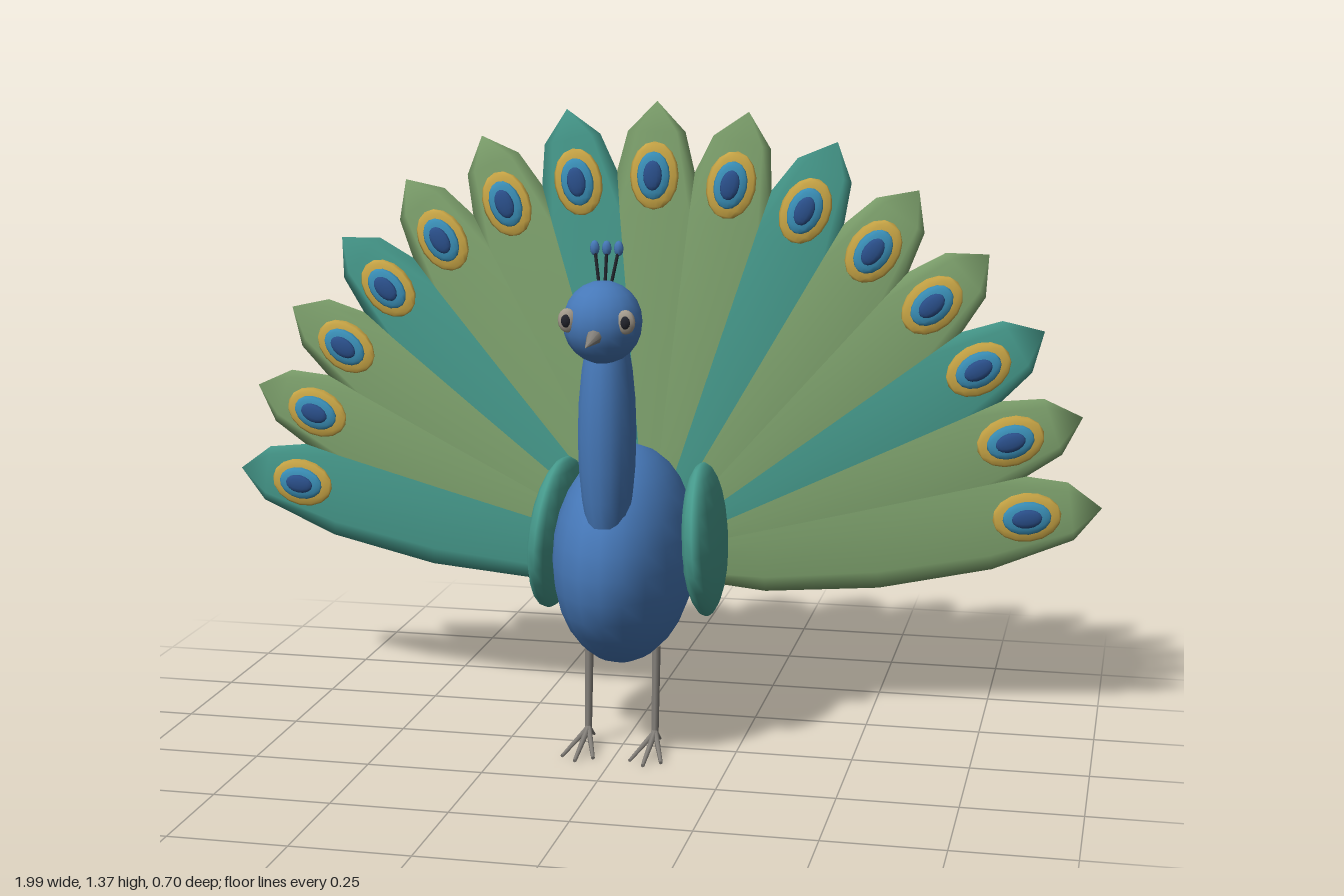
import * as THREE from 'three';

const mat = (name, color) => {
  const m = new THREE.MeshStandardMaterial({ color });
  m.name = name;
  return m;
};

export function createModel() {
  const blue = mat('bodyBlue', 0x4678b8);
  const teal = mat('teal', 0x469a8c);
  const green = mat('featherGreen', 0x7fa36e);
  const gold = mat('gold', 0xc9a646);
  const sky = mat('spotBlue', 0x3a8fb7);
  const navy = mat('spotNavy', 0x2a4f8a);
  const grey = mat('legGrey', 0x85817b);
  const tan = mat('eyeTan', 0xa39a8c);
  const dark = mat('dark', 0x22242c);

  const bird = new THREE.Group();
  bird.name = 'fanTailedBird';

  const add = (parent, name, geometry, material) => {
    const mesh = new THREE.Mesh(geometry, material);
    mesh.name = name;
    parent.add(mesh);
    return mesh;
  };
  // ellipsoid: centre and half sizes
  const blob = (parent, name, material, [x, y, z], [a, b, c], w = 16, h = 12) => {
    const mesh = add(parent, name, new THREE.SphereGeometry(1, w, h).scale(a, b, c), material);
    mesh.position.set(x, y, z);
    return mesh;
  };
  // tapered rod between two points
  const rod = (parent, name, material, from, to, r0, r1, sides = 6) => {
    const p = new THREE.Vector3(...from), q = new THREE.Vector3(...to);
    const dir = q.clone().sub(p);
    const mesh = add(parent, name, new THREE.CylinderGeometry(r1, r0, dir.length(), sides), material);
    mesh.position.copy(p).add(q).multiplyScalar(0.5);
    mesh.quaternion.setFromUnitVectors(new THREE.Vector3(0, 1, 0), dir.normalize());
    return mesh;
  };

  // Body, neck and head
  blob(bird, 'body', blue, [0, 0.425, -0.026], [0.15, 0.235, 0.262], 20, 14);
  blob(bird, 'neck', blue, [0, 0.72, 0.153], [0.06, 0.27, 0.077]);
  blob(bird, 'head', blue, [0, 0.96, 0.193], [0.082, 0.085, 0.084]);
  rod(bird, 'beak', grey, [0, 0.943, 0.255], [0, 0.931, 0.352], 0.019, 0, 8);

  // Crest: three stalks with bead tips
  for (const k of [-1, 0, 1]) {
    rod(bird, 'crestStalk', dark, [k * 0.012, 1.03, 0.172], [k * 0.024, 1.1, 0.156], 0.0035, 0.0035);
    blob(bird, 'crestBead', blue, [k * 0.025, 1.106, 0.155], [0.01, 0.016, 0.008], 8, 6);
  }

  // Eyes, wings and legs on both sides
  for (const s of [-1, 1]) {
    blob(bird, 'eye', tan, [s * 0.06, 0.97, 0.25], [0.02, 0.025, 0.012], 10, 8);
    blob(bird, 'pupil', dark, [s * 0.061, 0.97, 0.258], [0.011, 0.014, 0.007], 8, 6);

    const wing = blob(bird, 'wing', teal, [s * 0.163, 0.45, -0.083], [0.043, 0.165, 0.19], 16, 12);
    wing.rotation.set(0, s * 0.04, s * 0.07, 'ZYX');

    const x = s * 0.074;
    const ankle = [x, 0.04, 0.014];
    rod(bird, 'leg', grey, [x, 0.23, 0.004], ankle, 0.01, 0.008);
    for (const k of [-1, 0, 1]) {
      rod(bird, 'frontToe', grey, ankle, [x + k * 0.034, 0.006, k ? 0.118 : 0.145], 0.007, 0.004);
    }
    rod(bird, 'backToe', grey, ankle, [x, 0.007, -0.04], 0.006, 0.003);
  }

  // Tail fan: fifteen leaf feathers leaning back, each with an eye spot
  const count = 15, length = 1.009, spread = THREE.MathUtils.degToRad(82.4);
  const tail = new THREE.Group();
  tail.name = 'tailFan';
  tail.position.set(0, 0.366, -0.263);
  bird.add(tail);
  for (let i = 0; i < count; i++) {
    const feather = new THREE.Group();
    feather.name = 'tailFeather';
    feather.rotation.set(-0.087, 0, spread * (1 - (2 * i) / (count - 1)), 'ZYX');
    tail.add(feather);
    blob(feather, 'vane', i % 3 ? green : teal, [0, length / 2, 0], [0.13, length / 2, 0.014], 8, 6);
    blob(feather, 'spotRing', gold, [0, 0.845, 0.017], [0.055, 0.075, 0.011], 14, 8);
    blob(feather, 'spotMiddle', sky, [0, 0.845, 0.027], [0.037, 0.053, 0.01], 14, 8);
    blob(feather, 'spotCentre', navy, [0, 0.845, 0.036], [0.021, 0.033, 0.008], 12, 8);
  }
  return bird;
}
